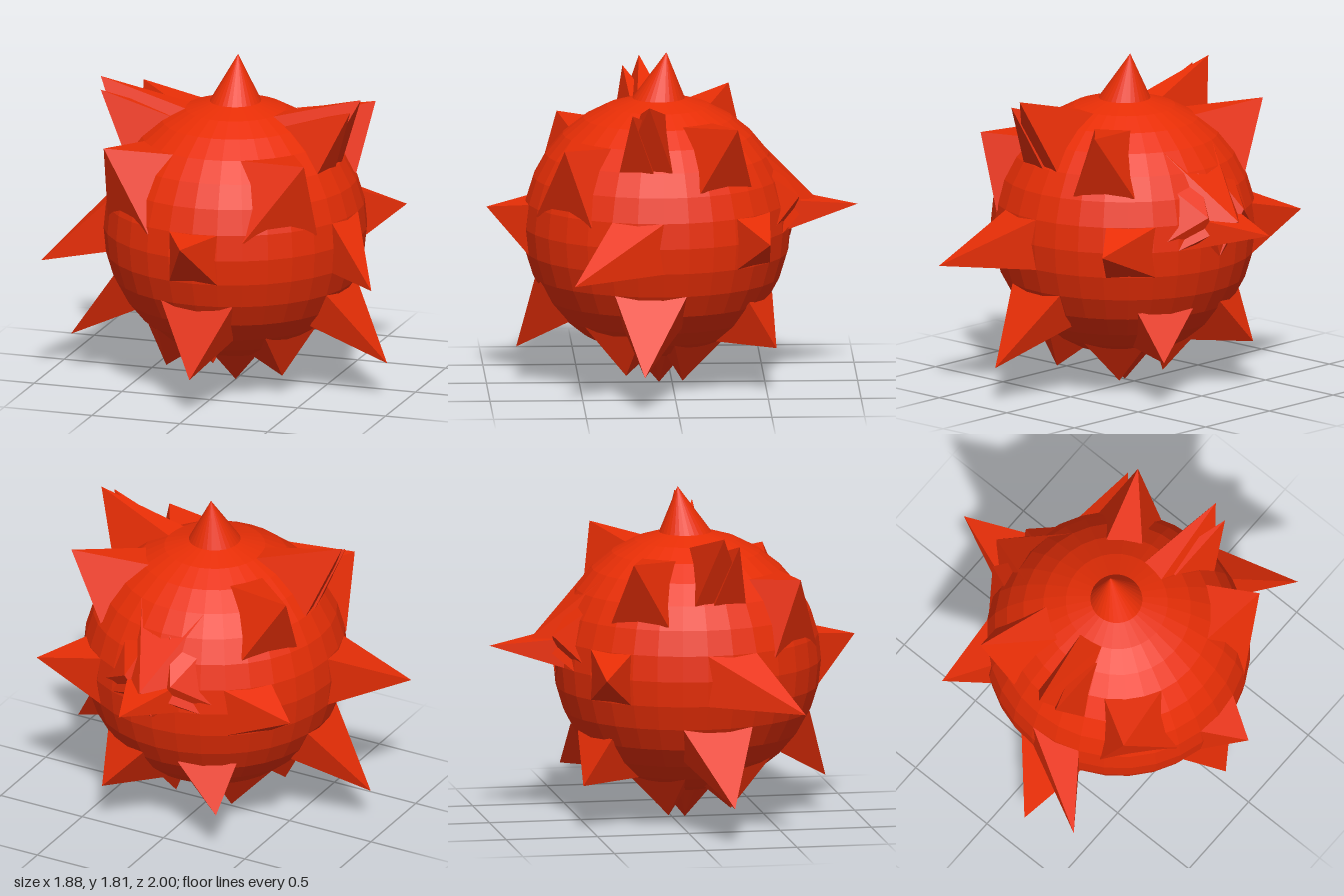
import * as THREE from 'three';

const R = 0.71;
const FRONT_BULGE = 1.035;
const CENTRE = new THREE.Vector3(0, 0.865, 0.07);

// Point on the ball: elevation and azimuth in degrees, azimuth from +z towards +x
function onBall(el, az) {
  const e = THREE.MathUtils.degToRad(el), a = THREE.MathUtils.degToRad(az);
  const p = new THREE.Vector3(Math.cos(e) * Math.sin(a), Math.sin(e), Math.cos(e) * Math.cos(a))
    .multiplyScalar(R);
  if (p.z > 0) p.z *= FRONT_BULGE;
  return p.add(CENTRE);
}

// Four-sided spike rising from a patch of the ball to its tip
function spikeGeometry(el0, el1, az0, az1, tip) {
  const base = [onBall(el0, az0), onBall(el0, az1), onBall(el1, az1), onBall(el1, az0)];
  const apex = new THREE.Vector3(...tip);
  const points = [];
  for (let i = 0; i < 4; i++) points.push(base[i], base[(i + 1) % 4], apex);
  const geometry = new THREE.BufferGeometry().setFromPoints(points);
  geometry.computeVertexNormals();
  return geometry;
}

// Faceted ball, slightly fuller in front, whose poles are drawn out into round cones
function bodyGeometry() {
  const geometry = new THREE.SphereGeometry(R, 32, 16);
  const pos = geometry.attributes.position;
  for (let i = 0; i < pos.count; i++) {
    const y = pos.getY(i), z = pos.getZ(i);
    if (z > 0) pos.setZ(i, z * FRONT_BULGE);
    if (y > R * 0.999) pos.setXYZ(i, 0, 1.81 - CENTRE.y, -0.04);
    if (y < -R * 0.999) pos.setXYZ(i, 0, -CENTRE.y, 0);
  }
  geometry.translate(CENTRE.x, CENTRE.y, CENTRE.z);
  geometry.computeVertexNormals();
  return geometry;
}

export function createModel() {
  const group = new THREE.Group();
  const material = new THREE.MeshStandardMaterial({ color: 0xe82e06, flatShading: true });
  const add = (name, geometry) => {
    const mesh = new THREE.Mesh(geometry, material);
    mesh.name = name;
    group.add(mesh);
  };

  add('body', bodyGeometry());

  // Spikes on the centre line: name, elevation range, azimuth range, tip
  const centreSpikes = [
    ['frontSpike', -11.25, 11.25, -11.25, 11.25, [0, 0.97, 1]],
    ['lowerFrontSpike', -45, -22.5, -18, 18, [0, 0.2, 0.84]],
    ['backSpike', 0, 13, 167, 193, [0, 0.97, -1]],
    ['backRidge', 0, 45, 157.5, 202.5, [0, 1.01, -0.77]],
  ];
  for (const [name, ...shape] of centreSpikes) add(name, spikeGeometry(...shape));

  // Spikes and swellings mirrored to both sides
  const sideSpikes = [
    ['SideSpike', -11.25, 11.25, 67.5, 90, [0.94, 0.71, 0.56]],
    ['RearSideSpike', -11.25, 11.25, 125, 147, [0.78, 0.9, -0.5]],
    ['BackSwelling', -5, 45, 135, 180, [0.14, 1.04, -0.68]],
    ['LowerSideSpike', -41, -22.5, 67.5, 101, [0.9, 0.2, 0.18]],
    ['LowerBackSpike', -57, -30, 140, 170, [0.35, 0.25, -0.55]],
    ['BottomFrontSpike', -67.5, -45, 38, 78, [0.33, 0.1, 0.26]],
    ['BottomBackSpike', -74, -56, 100, 150, [0.17, 0.04, -0.05]],
    ['UpperSideSpike', 33.75, 67.5, 67.5, 95, [0.74, 1.65, 0.15]],
    ['UpperSideSpikeEdge', 33.75, 60, 67.5, 85, [0.71, 1.6, 0.24]],
    ['UpperFrontSpike', 8, 45, 22.5, 58, [0.57, 1.38, 0.6]],
    ['UpperBackSpike', 24, 58, 108, 138, [0.66, 1.51, -0.33]],
  ];
  for (const [name, el0, el1, az0, az1, [x, y, z]] of sideSpikes) {
    add('left' + name, spikeGeometry(el0, el1, az0, az1, [x, y, z]));
    add('right' + name, spikeGeometry(el0, el1, -az1, -az0, [-x, y, z]));
  }
  return group;
}
